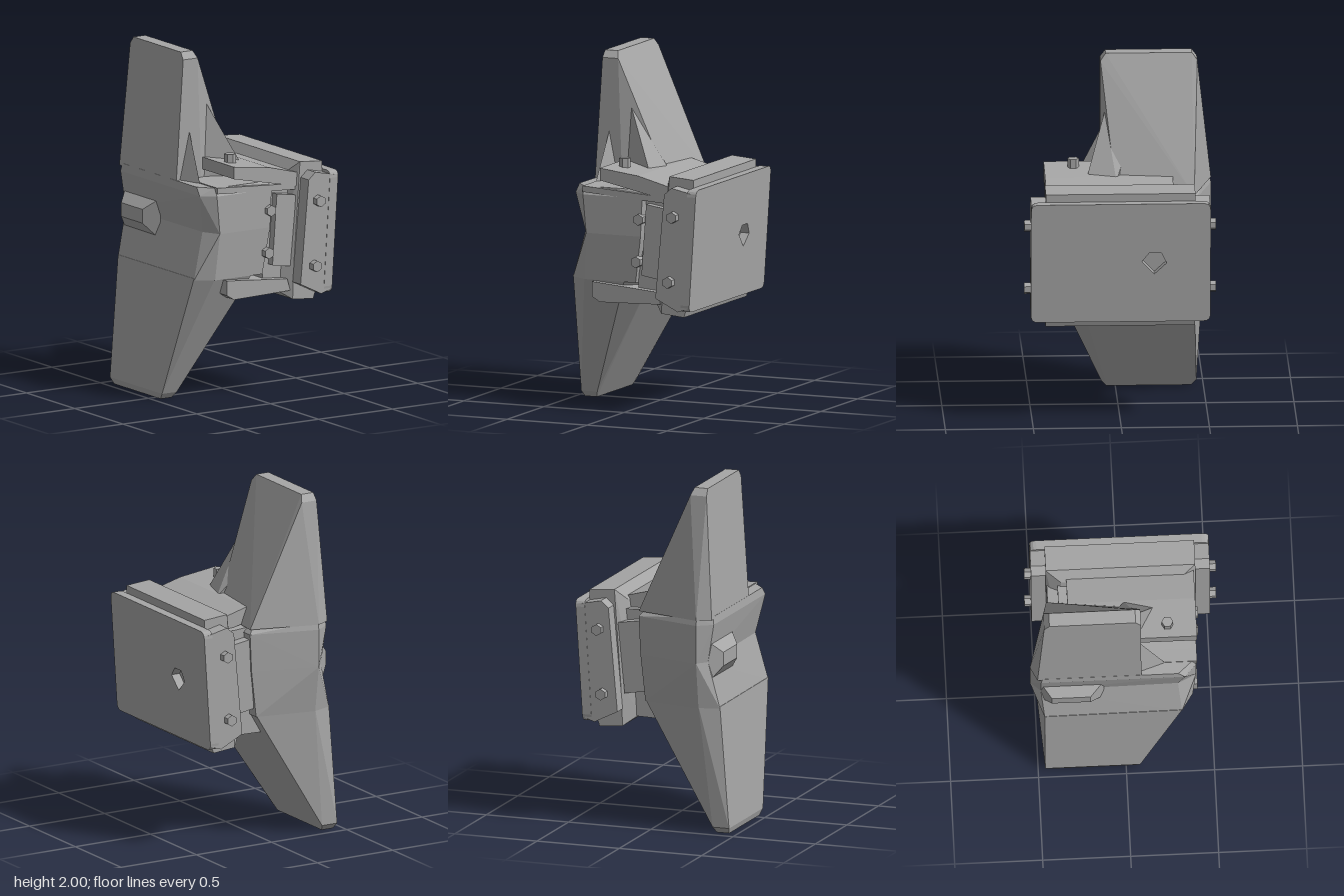
import * as THREE from 'three';
import { ConvexGeometry } from 'three/addons/geometries/ConvexGeometry.js';

const steel = new THREE.MeshStandardMaterial({ color: 0xa6a6a6 });
steel.name = 'steel grey';

export function createModel() {
  const model = new THREE.Group();

  const add = (name, geometry) => {
    const mesh = new THREE.Mesh(geometry, steel);
    mesh.name = name;
    model.add(mesh);
    return mesh;
  };
  // Convex solid from corner points
  const hull = (name, pts) =>
    add(name, new ConvexGeometry(pts.map(p => new THREE.Vector3(...p))));
  // Horizontal cross-section from [x, z] corners
  const ring = (y, pts) => pts.map(([x, z]) => [x, y, z]);
  // Front profile swept along z, with optionally narrowed ends
  const prism = (name, profile, z0, z1) => {
    const shape = new THREE.Shape(profile.map(p => new THREE.Vector2(...p)));
    const g = new THREE.ExtrudeGeometry(shape, { depth: z1 - z0, bevelEnabled: false });
    return add(name, g.translate(0, 0, z0));
  };
  // Hexagonal bolt head
  const bolt = (name, x, y, z, length, axis) => {
    const mesh = add(name, new THREE.CylinderGeometry(0.033, 0.033, length, 6).toNonIndexed());
    mesh.geometry.computeVertexNormals();
    mesh.position.set(x, y, z);
    if (axis === 'z') mesh.rotation.x = Math.PI / 2;
    return mesh;
  };

  // Upper blade, tapering to a slim rounded tip
  hull('upperBlade', [
    ...ring(2.0, [[-0.32, 0.06], [-0.24, 0.06], [-0.24, -0.43], [-0.32, -0.43]]),
    ...ring(1.96, [[-0.323, 0.09], [-0.225, 0.09], [-0.225, -0.46], [-0.323, -0.46]]),
    ...ring(1.25, [[-0.37, 0.09], [-0.2, 0.09], [0.055, 0.01], [0.1, -0.43],
      [-0.29, -0.54], [-0.37, -0.5]]),
  ]);
  // Ribs at the foot of the upper blade
  hull('upperBladeRib', [[-0.15, 1.68, 0.07], [-0.2, 1.25, 0.07], [0.0, 1.36, 0.17],
    [0.0, 1.25, 0.17], [0.055, 1.33, 0.01], [0.055, 1.25, 0.01], [-0.16, 1.6, -0.1]]);
  hull('upperBladeOuterRib', [[-0.28, 1.55, 0.085], [-0.35, 1.25, 0.085],
    [-0.22, 1.25, 0.085], [-0.3, 1.27, 0.225], [-0.3, 1.2, 0.225]]);

  // Lower blade, mirrored in spirit but leaning outward
  hull('lowerBlade', [
    ...ring(0.0, [[-0.45, 0.05], [-0.375, 0.05], [-0.375, -0.43], [-0.45, -0.43]]),
    ...ring(0.035, [[-0.46, 0.08], [-0.36, 0.08], [-0.36, -0.46], [-0.46, -0.46]]),
    ...ring(0.74, [[-0.4, 0.32], [-0.3, 0.385], [-0.05, 0.385], [0.06, 0.25],
      [0.06, -0.43], [-0.29, -0.5], [-0.405, -0.46]]),
  ]);

  // Hub in two halves that meet at a narrower waist
  const waist = ring(1.0, [[-0.33, 0.3], [-0.28, 0.405], [0.06, 0.405], [0.09, 0.3],
    [0.09, -0.43], [-0.29, -0.54], [-0.34, -0.48]]);
  hull('hubLower', [...waist, ...ring(0.73, [[-0.4, 0.32], [-0.3, 0.385], [0.02, 0.385],
    [0.06, 0.28], [0.06, -0.43], [-0.29, -0.5], [-0.405, -0.46]])]);
  hull('hubUpper', [...waist, ...ring(1.22, [[-0.375, 0.34], [-0.3, 0.405], [0.07, 0.405],
    [0.1, 0.3], [0.1, -0.43], [-0.29, -0.54], [-0.375, -0.48]]),
  ...ring(1.265, [[-0.37, 0.3], [-0.3, 0.38], [0.06, 0.38], [0.06, -0.4],
    [-0.29, -0.53], [-0.37, -0.47]])]);
  // Small bulge on the outside of the hub
  hull('hubBulge', [[-0.41, 0.97, -0.2], [-0.41, 0.97, -0.42], [-0.41, 1.05, -0.2],
    [-0.41, 1.05, -0.42], [-0.34, 0.88, -0.12], [-0.34, 0.88, -0.48],
    [-0.34, 1.12, -0.12], [-0.34, 1.12, -0.48]]);

  // Covers above and below the hub
  prism('topCover', [[-0.19, 1.31], [0.24, 1.22], [0.24, 1.3], [0.05, 1.35], [-0.19, 1.38]], -0.31, 0.415);
  prism('upperLedge', [[-0.3, 1.235], [0.24, 1.2], [0.24, 1.235], [-0.3, 1.27]], -0.36, 0.41);
  prism('bottomShelf', [[-0.24, 0.64], [-0.19, 0.61], [0.19, 0.62], [0.17, 0.69], [-0.24, 0.725]], -0.36, 0.415);

  // Neck and side pads between hub and mounting block
  prism('neck', [[0.03, 0.7], [0.25, 0.65], [0.29, 1.24], [0.06, 1.24]], -0.36, 0.37);
  prism('neckPad', [[0.07, 0.78], [0.19, 0.76], [0.23, 1.17], [0.1, 1.19]], -0.42, 0.415);

  // Mounting block with sloped shoulders
  const blockSide = z => [[0.12, 0.63, z * 0.8], [0.2, 0.57, z], [0.34, 0.557, z],
    [0.36, 0.62, z], [0.4, 1.3, z], [0.4, 1.35, z], [0.25, 1.362, z],
    [0.2, 1.29, z * 0.8], [0.21, 0.8, z]];
  hull('mountingBlock', [...blockSide(0.425), ...blockSide(-0.425)]);

  // Mounting plate: rounded rectangle with an off-centre hole, leaning outward
  const w = 0.51, y0 = 0.6, y1 = 1.305, r = 0.04;
  const outline = new THREE.Shape();
  outline.moveTo(-w + r, y0).lineTo(w - r, y0).quadraticCurveTo(w, y0, w, y0 + r)
    .lineTo(w, y1 - r).quadraticCurveTo(w, y1, w - r, y1)
    .lineTo(-w + r, y1).quadraticCurveTo(-w, y1, -w, y1 - r)
    .lineTo(-w, y0 + r).quadraticCurveTo(-w, y0, -w + r, y0);
  const hole = [[0.12, 0.96], [0.19, 0.885], [0.26, 0.95], [0.23, 1.01], [0.16, 1.01]];
  outline.holes.push(new THREE.Path(hole.map(p => new THREE.Vector2(...p))));
  const plate = new THREE.ExtrudeGeometry(outline, { depth: 0.055, bevelEnabled: false, curveSegments: 4 });
  plate.rotateY(Math.PI / 2).translate(0.4, 0, 0);
  const p = plate.attributes.position;
  for (let i = 0; i < p.count; i++) p.setX(i, p.getX(i) + 0.064 * (p.getY(i) - 1.3));
  plate.computeVertexNormals();
  add('mountingPlate', plate);

  // Side flanges and their bolts, front and back
  const flange = [[0.2, 0.67], [0.34, 0.6], [0.4, 0.62], [0.44, 1.28], [0.3, 1.31], [0.255, 1.27]];
  prism('frontFlange', flange, 0.425, 0.508);
  prism('backFlange', flange, -0.508, -0.425);
  for (const side of [1, -1]) {
    bolt('flangeBolt', 0.315, 1.145, side * 0.51, 0.07, 'z');
    bolt('flangeBolt', 0.29, 0.77, side * 0.51, 0.07, 'z');
  }

  // Bolts on the hub face and the top cover
  bolt('hubBolt', 0.055, 1.1, 0.4, 0.06, 'z');
  bolt('hubBolt', 0.04, 0.855, 0.4, 0.06, 'z');
  bolt('coverBolt', -0.11, 1.38, 0.25, 0.08, 'y');

  return model;
}
